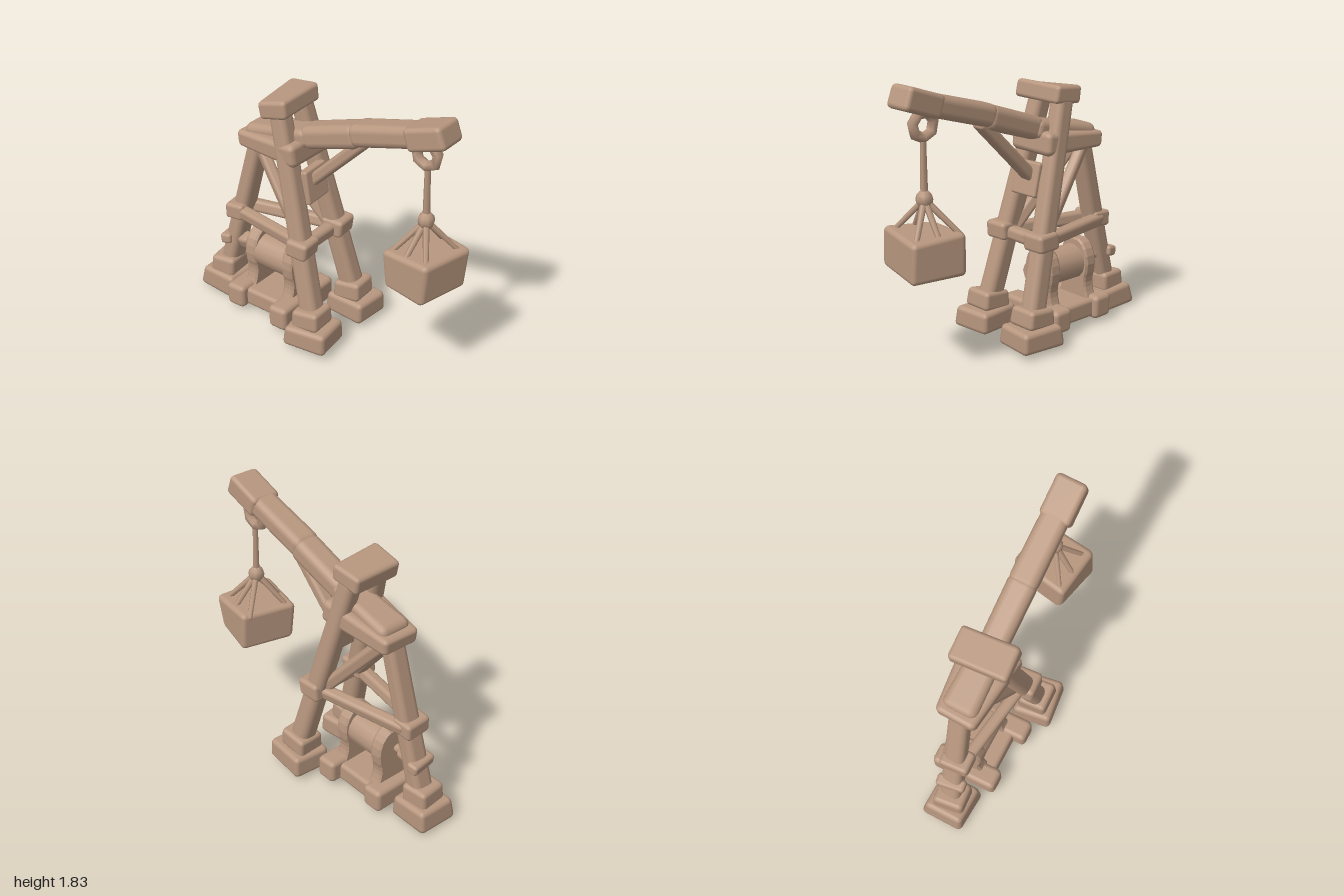
import * as THREE from 'three';
import { RoundedBoxGeometry } from 'three/addons/geometries/RoundedBoxGeometry.js';

export function createModel() {
  const model = new THREE.Group();
  model.name = 'timberCrane';
  const wood = new THREE.MeshStandardMaterial({ color: 0xb8977f });
  wood.name = 'warmWood';
  const V = (x, y, z) => new THREE.Vector3(x, y, z);

  const add = (name, geo, pos = [0, 0, 0], rot = [0, 0, 0]) => {
    const m = new THREE.Mesh(geo, wood);
    m.name = name;
    m.position.set(...pos);
    m.rotation.set(...rot);
    model.add(m);
    return m;
  };

  // Softened hewn block; taper scales the top, wobble bends it a little
  const hewn = (w, h, d, taper = 1, wobble = 0.01, round = 0.22) => {
    const g = new RoundedBoxGeometry(w, h, d, 2, Math.min(w, h, d) * round);
    const p = g.attributes.position;
    for (let i = 0; i < p.count; i++) {
      const x = p.getX(i), y = p.getY(i), z = p.getZ(i);
      const s = 1 + (taper - 1) * (y / h + 0.5);
      p.setXYZ(i,
        x * s + wobble * Math.sin(7 * y + 9 * z),
        y + wobble * Math.sin(8 * x - 6 * z + 1),
        z * s + wobble * Math.sin(6 * x + 8 * y + 2));
    }
    return g;
  };
  const block = (name, size, pos, rot, taper, wobble, round) =>
    add(name, hewn(...size, taper, wobble, round), pos, rot);

  // Timber running between two points
  const beam = (name, a, b, w, d = w, taper = 1, round = 0.34) => {
    const dir = b.clone().sub(a), len = dir.length();
    const m = add(name, hewn(w, len, d, taper, 0.003, round));
    m.position.copy(a).add(b).multiplyScalar(0.5);
    m.quaternion.setFromUnitVectors(V(0, 1, 0), dir.normalize());
    return m;
  };
  const rope = (name, a, b, r0, r1) => {
    const dir = b.clone().sub(a);
    const m = add(name, new THREE.CylinderGeometry(r1, r0, dir.length(), 6));
    m.position.copy(a).add(b).multiplyScalar(0.5);
    m.quaternion.setFromUnitVectors(V(0, 1, 0), dir.normalize());
  };

  // Rear leg with stepped foot and collar
  beam('rearLeg', V(-0.83, 0.15, 0.04), V(-0.53, 1.3, 0), 0.125, 0.15, 0.9);
  block('rearFoot', [0.31, 0.15, 0.31], [-0.835, 0.085, 0.04], [0, -0.05, -0.06], 0.88, 0.008);
  block('rearFootStep', [0.2, 0.14, 0.22], [-0.825, 0.2, 0.04], [0, 0.05, 0], 0.95);
  block('rearCollar', [0.15, 0.115, 0.2], [-0.7, 0.685, 0.03], [0, 0, 0.05]);

  // Front pair of legs, their feet, collars, rails and braces
  for (const s of [1, -1]) {
    beam('frontLeg', V(0.09, 0.15, s * 0.225), V(-0.28, 1.62, s * 0.1), 0.145, 0.14, 0.88);
    block('frontFoot', [0.33, 0.145, 0.29], [0.09, 0.107, s * 0.232], [0, s * 0.1, 0], 0.92, 0.008);
    block('frontFootStep', [0.22, 0.13, 0.21], [0.075, 0.225, s * 0.225], [0, 0, 0.1], 0.92);
    block('frontCollar', [0.17, 0.125, 0.17], [-0.035, 0.705, s * 0.185], [0, 0, -0.05]);
    beam('sideRail', V(-0.72, 0.685, 0.03 + s * 0.05), V(-0.03, 0.705, s * 0.18), 0.09, 0.08);
    beam('diagonalBrace', V(-0.53, 1.26, s * 0.04), V(-0.08, 0.72, s * 0.15), 0.085, 0.075);
  }
  beam('legTie', V(-0.04, 0.7, -0.18), V(-0.04, 0.7, 0.18), 0.09, 0.09);
  block('strutBoard', [0.07, 0.23, 0.22], [-0.085, 1.08, 0], [0, 0, 0.22]);

  // Head frame and cap
  const frame = beam('headFrame', V(-0.63, 1.285, 0), V(-0.1, 1.335, 0.01), 0.13, 0.27, 1.45, 0.25);
  frame.scale.x = 0.85;
  block('topCap', [0.22, 0.12, 0.38], [-0.27, 1.625, 0.015], [0.02, 0, 0.16], 1, 0.014);

  // Jib, its head and its strut
  beam('jib', V(-0.58, 1.315, 0), V(-0.08, 1.43, 0), 0.15, 0.24, 0.82);
  beam('jib', V(-0.14, 1.41, 0), V(0.3, 1.565, 0), 0.155, 0.18, 1.05);
  beam('jib', V(0.24, 1.55, 0), V(0.78, 1.715, 0), 0.15, 0.19, 0.95);
  beam('jibHead', V(0.67, 1.675, 0), V(0.93, 1.77, 0), 0.15, 0.21, 1, 0.2);
  beam('jibStrut', V(-0.1, 1.09, 0), V(0.33, 1.53, 0), 0.08, 0.11);

  // Hanging ring, rope and sling
  add('ring', new THREE.TorusGeometry(0.078, 0.036, 6, 7), [0.765, 1.575, -0.01], [0, 0, 0.22]);
  rope('hoistRope', V(0.775, 1.14, -0.02), V(0.77, 1.51, -0.015), 0.024, 0.018);
  const knot = add('knot', new THREE.SphereGeometry(0.055, 8, 6), [0.775, 1.12, -0.02]);
  knot.scale.y = 1.1;
  const top = V(0.775, 1.12, -0.02);
  const corners = [[0.63, -0.2], [0.94, -0.15], [0.9, 0.15], [0.62, 0.1], [0.8, -0.2], [0.74, 0.14]];
  for (const [x, z] of corners) rope('slingRope', V(x, 0.9, z), top, 0.017, 0.022);

  // Hanging load
  block('load', [0.36, 0.275, 0.4], [0.785, 0.785, -0.027], [0, -0.22, 0], 1.03, 0.016, 0.12);

  // Winch base
  block('winchBed', [0.46, 0.13, 0.39], [-0.385, 0.115, 0.025], [0, 0, 0], 0.97, 0.004);
  block('winchSill', [0.15, 0.165, 0.47], [-0.59, 0.115, 0.03], [0, 0, 0], 1, 0.006);
  block('winchSill', [0.15, 0.165, 0.54], [-0.185, 0.12, 0.025], [0, 0, 0], 1, 0.006);

  // Winch cheeks: rounded plates with a narrow waist
  const cheek = new THREE.Shape();
  cheek.moveTo(-0.13, 0);
  cheek.quadraticCurveTo(-0.08, 0.1, -0.115, 0.18);
  cheek.bezierCurveTo(-0.14, 0.29, -0.1, 0.38, -0.04, 0.4);
  cheek.lineTo(0.04, 0.4);
  cheek.bezierCurveTo(0.1, 0.38, 0.14, 0.29, 0.115, 0.18);
  cheek.quadraticCurveTo(0.08, 0.1, 0.13, 0);
  const cheekGeo = new THREE.ExtrudeGeometry(cheek, {
    depth: 0.06, bevelSize: 0.01, bevelThickness: 0.015, bevelSegments: 1, curveSegments: 5,
  });
  cheekGeo.translate(0, 0, -0.03);
  for (const x of [-0.545, -0.22]) add('winchCheek', cheekGeo, [x, 0.175, 0.01], [0, Math.PI / 2, 0]);

  // Drum, axle and crank, all turned about the x axis
  const turned = (name, x, len, r, sides, y = 0.42, z = 0.02) =>
    add(name, new THREE.CylinderGeometry(r, r, len, sides), [x, y, z], [0, 0, Math.PI / 2]);
  turned('drum', -0.385, 0.28, 0.122, 14);
  turned('axle', -0.48, 0.6, 0.03, 8, 0.43, 0.03);
  turned('axleHub', -0.165, 0.06, 0.07, 8, 0.41, 0.045);
  block('crankHub', [0.1, 0.1, 0.1], [-0.67, 0.43, 0.03], [0.4, 0, 0.1], 1, 0.006, 0.3);
  block('crankHandle', [0.085, 0.075, 0.2], [-0.8, 0.43, 0.03], [0, 0.1, 0.15], 1, 0.006, 0.3);

  return model;
}
